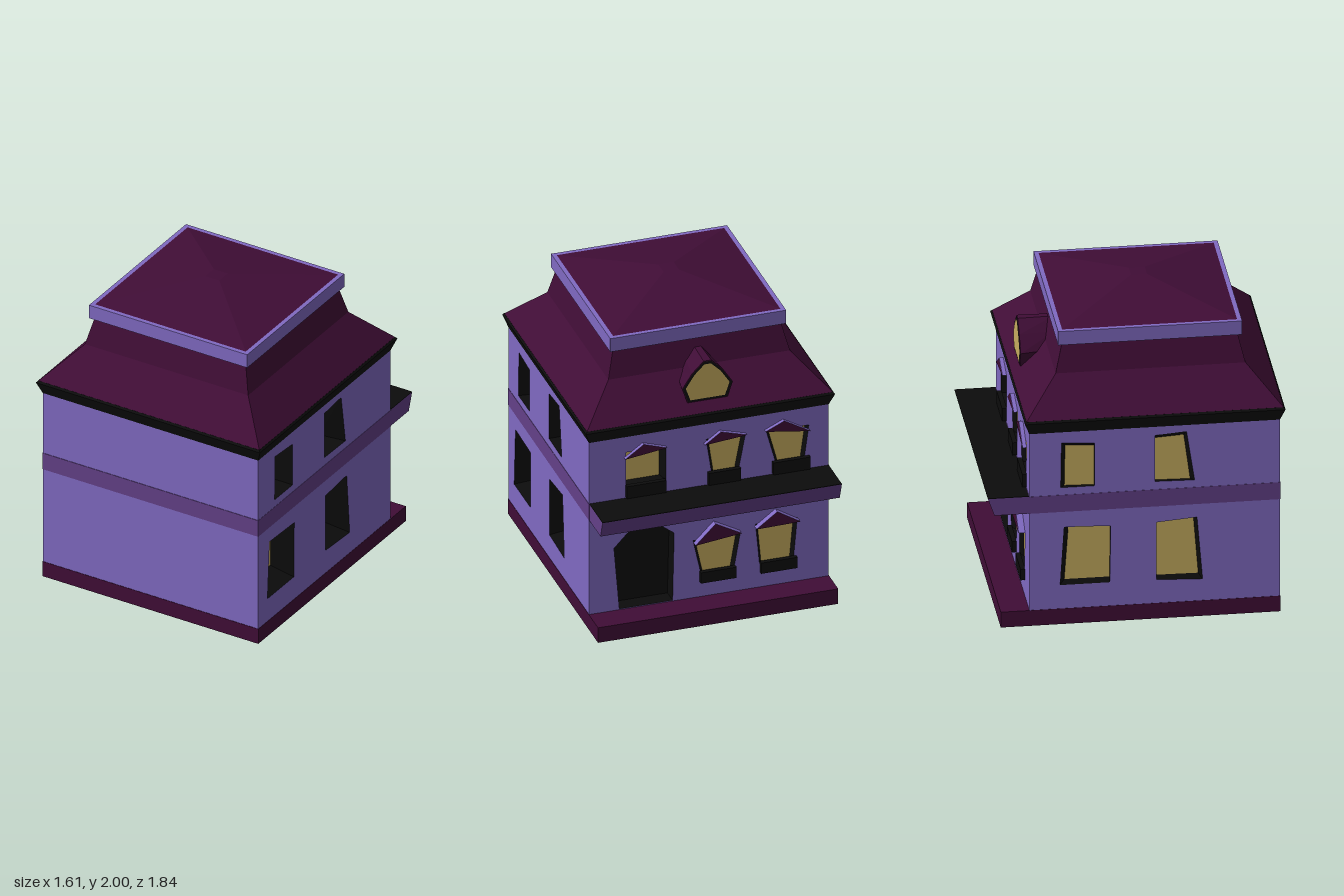
import * as THREE from 'three';

const mat = (name, color, side = THREE.FrontSide) => {
  const m = new THREE.MeshStandardMaterial({ color, side });
  m.name = name;
  return m;
};

export function createModel() {
  const lavender = mat('lavender', 0x806ac2);
  const maroon = mat('maroon', 0x400d36);
  const plum = mat('plum', 0x634088);
  const yellow = mat('window yellow', 0xc8ae60);
  const black = mat('black', 0x0c0c0c, THREE.DoubleSide);

  const CZ = 0.1125, HALF = 0.776, WALL_H = 1.31;
  const model = new THREE.Group();
  model.name = 'house';

  const add = (parent, name, geometry, material, x = 0, y = 0, z = 0) => {
    const mesh = new THREE.Mesh(geometry, material);
    mesh.name = name;
    mesh.position.set(x, y, z);
    parent.add(mesh);
    return mesh;
  };
  const polygon = pts => new THREE.Shape(pts.map(p => new THREE.Vector2(p[0], p[1])));
  const extrude = (pts, depth) =>
    new THREE.ExtrudeGeometry(polygon(pts), { depth, bevelEnabled: false });

  // Square tier with flat sloping sides
  const tier = (name, y0, h0, y1, h1, material) => {
    const g = new THREE.CylinderGeometry(h1 * Math.SQRT2, h0 * Math.SQRT2, y1 - y0, 4)
      .rotateY(Math.PI / 4).toNonIndexed();
    g.computeVertexNormals();
    return add(model, name, g, material, 0, (y0 + y1) / 2, CZ);
  };

  // Tapered sides of a recess, from the outer outline back to the inner one
  const reveal = (outer, inner, depth) => {
    const pos = [];
    outer.forEach((a, i) => {
      const j = (i + 1) % outer.length;
      const b = outer[j], c = inner[j], d = inner[i];
      pos.push(a[0], a[1], 0, b[0], b[1], 0, c[0], c[1], -depth);
      pos.push(a[0], a[1], 0, c[0], c[1], -depth, d[0], d[1], -depth);
    });
    const g = new THREE.BufferGeometry();
    g.setAttribute('position', new THREE.Float32BufferAttribute(pos, 3));
    g.computeVertexNormals();
    return g;
  };

  // Wall panel with recessed openings, facing the direction given by angle
  const wall = (name, angle, openings = []) => {
    const group = new THREE.Group();
    group.name = name;
    group.position.z = CZ;
    group.rotation.y = angle;
    const face = polygon([[-HALF, 0], [HALF, 0], [HALF, WALL_H], [-HALF, WALL_H]]);
    for (const o of openings) {
      face.holes.push(polygon(o.outer));
      add(group, o.name + 'Reveal', reveal(o.outer, o.inner, o.depth), black, 0, 0, HALF);
      add(group, o.name + 'Pane', new THREE.ShapeGeometry(polygon(o.inner)),
        o.material || yellow, 0, 0, HALF - o.depth);
    }
    add(group, name + 'Panel', new THREE.ShapeGeometry(face), lavender, 0, 0, HALF);
    model.add(group);
    return group;
  };

  // Crooked side windows: corner points as (z, y)
  const sideWindows = [
    { outer: [[0.69, 1.235], [0.485, 1.22], [0.485, 0.93], [0.695, 0.93]],
      inner: [[0.665, 1.21], [0.485, 1.2], [0.485, 0.93], [0.67, 0.935]] },
    { outer: [[0.11, 1.25], [-0.085, 1.265], [-0.135, 0.93], [0.11, 0.935]],
      inner: [[0.11, 1.225], [-0.07, 1.235], [-0.11, 0.932], [0.11, 0.937]] },
    { outer: [[0.755, 0.66], [0.465, 0.65], [0.47, 0.265], [0.78, 0.265]],
      inner: [[0.725, 0.655], [0.465, 0.648], [0.47, 0.295], [0.75, 0.295]], slide: 0.08 },
    { outer: [[0.1, 0.655], [-0.15, 0.675], [-0.185, 0.25], [0.1, 0.265]],
      inner: [[0.1, 0.653], [-0.13, 0.67], [-0.16, 0.285], [0.1, 0.288]] },
  ];
  const sideOpenings = (depth, useSlide) => sideWindows.map(w => {
    const map = pts => pts.map(([z, y]) => [CZ - z + (useSlide ? w.slide || 0 : 0), y]);
    return { name: 'sideWindow', outer: map(w.outer), inner: map(w.inner), depth };
  });

  wall('frontWall', 0);
  wall('leftWall', Math.PI / 2, sideOpenings(0.17, false));
  wall('rightWall', -Math.PI / 2, sideOpenings(0.02, true));

  // Back windows: pane top and bottom spans, sill span, and hood corners
  const backWindows = [
    { top: [-0.52, -0.295], low: [-0.52, -0.295], v: [0.96, 1.2], depth: 0.08,
      sill: [-0.54, -0.285], hood: [[-0.55, 1.165], [-0.28, 1.2], [-0.43, 1.25]] },
    { top: [0.0, 0.22], low: [0.035, 0.175], v: [0.96, 1.2], depth: 0.025,
      sill: [-0.01, 0.2], hood: [[-0.035, 1.175], [0.24, 1.2], [0.07, 1.25]] },
    { top: [0.39, 0.63], low: [0.45, 0.6], v: [0.96, 1.185], depth: 0.025,
      sill: [0.41, 0.65], hood: [[0.36, 1.2], [0.65, 1.155], [0.48, 1.255]] },
    { top: [-0.085, 0.185], low: [-0.035, 0.145], v: [0.27, 0.505], depth: 0.025,
      sill: [-0.06, 0.17], hood: [[-0.1, 0.49], [0.2, 0.525], [0.03, 0.62]] },
    { top: [0.32, 0.555], low: [0.345, 0.53], v: [0.27, 0.55], depth: 0.025,
      sill: [0.33, 0.565], hood: [[0.295, 0.535], [0.58, 0.54], [0.43, 0.635]] },
  ];
  const outline = (w, m) => [[w.low[0] - m, w.v[0]], [w.low[1] + m, w.v[0]],
    [w.top[1] + m, w.v[1]], [w.top[0] - m, w.v[1]]];
  const doorway = [[-0.58, 0.11], [-0.235, 0.11], [-0.225, 0.58], [-0.31, 0.645],
    [-0.52, 0.64], [-0.615, 0.54]];
  const back = wall('backWall', Math.PI, [
    { name: 'doorway', outer: doorway, inner: doorway, depth: 0.1, material: black },
    ...backWindows.map(w => ({ name: 'backWindow', outer: outline(w, 0.018),
      inner: outline(w, 0), depth: w.depth })),
  ]);
  for (const w of backWindows) {
    const upper = w.v[0] > 0.8;
    const [s0, s1] = w.sill;
    const bottom = upper ? 0.888 : 0.21, h = upper ? 0.085 : 0.075;
    add(back, 'windowSill', new THREE.BoxGeometry(s1 - s0, h, 0.03), black,
      (s0 + s1) / 2, bottom + h / 2, HALF + 0.012);
    const out = upper ? 0.025 : 0.04;
    add(back, 'windowHood', extrude(w.hood, out), lavender, 0, 0, HALF);
    add(back, 'windowHoodFace', new THREE.ShapeGeometry(polygon(w.hood)), maroon,
      0, 0, HALF + out + 0.002);
  }

  // Plinth with back step, pale underneath
  add(model, 'plinth', new THREE.BoxGeometry(1.556, 0.105, 1.732),
    [maroon, maroon, maroon, lavender, maroon, maroon], 0, 0.0525, 0.025);

  // Floor band and the back ledge
  const band = new THREE.BoxGeometry(1.556, 0.115, 1.558);
  add(model, 'floorBand', band, plum, 0, 0.8225, CZ);
  const ledge = extrude([[0.66, 0.765], [0.88, 0.765], [0.92, 0.88], [0.66, 0.88]], 1.55)
    .rotateY(Math.PI / 2);
  add(model, 'ledge', ledge, plum, -0.775);
  add(model, 'ledgeTop', new THREE.BoxGeometry(1.55, 0.004, 0.253), black, 0, 0.881, -0.7935);

  // Cornice and stacked roof
  tier('cornice', 1.305, 0.775, 1.388, 0.807, black);
  tier('corniceLip', 1.388, 0.807, 1.4, 0.797, black);
  tier('lowerRoof', 1.4, 0.796, 1.62, 0.588, maroon);
  tier('upperRoof', 1.62, 0.588, 1.805, 0.543, maroon);
  tier('roofTrim', 1.802, 0.57, 1.895, 0.57, lavender);
  tier('roofCap', 1.895, 0.542, 2.0, 0.05, maroon);

  // Dormer with a pointed window, tapering towards the roof
  const dormer = new THREE.Group();
  dormer.name = 'dormer';
  dormer.rotation.y = Math.PI;
  model.add(dormer);
  const arch = s => [[-0.13, 1.46], [0.13, 1.46], [0.165, 1.56], [0.1, 1.66], [0.025, 1.735],
    [-0.025, 1.735], [-0.1, 1.66], [-0.165, 1.56]]
    .map(([x, y]) => [x * s, 1.585 + (y - 1.585) * s]);
  const shell = extrude(arch(1), 0.22);
  const p = shell.attributes.position;
  for (let i = 0; i < p.count; i++) if (p.getZ(i) < 0.01) p.setX(i, p.getX(i) * 0.78);
  shell.computeVertexNormals();
  add(dormer, 'dormerShell', shell, maroon, 0, 0, 0.415);
  add(dormer, 'dormerFrame', new THREE.ShapeGeometry(polygon(arch(0.97))), black, 0, 0, 0.637);
  add(dormer, 'dormerPane', new THREE.ShapeGeometry(polygon(arch(0.86))), yellow, 0, 0, 0.64);

  return model;
}
